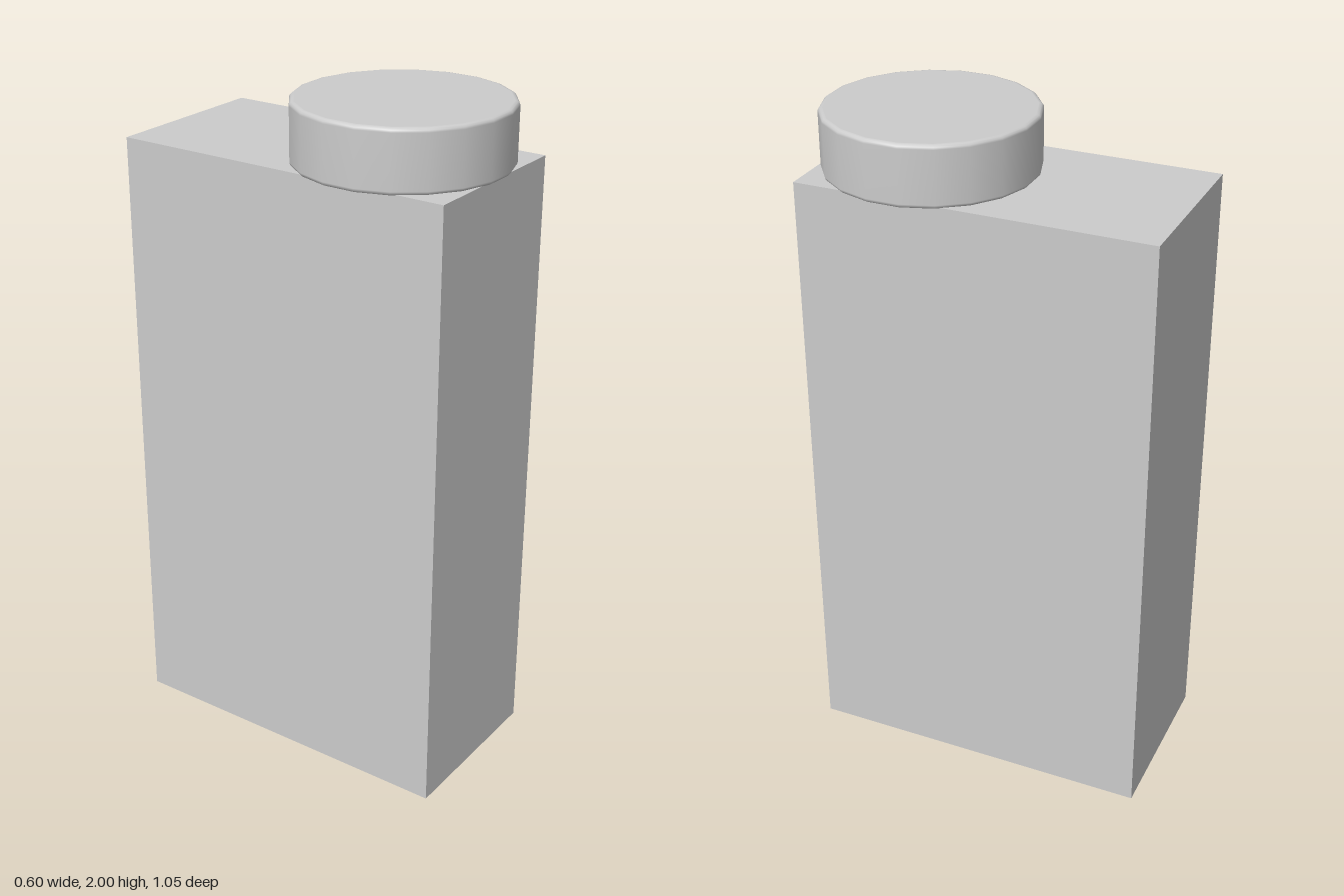
import * as THREE from 'three';

export function createModel() {
  const group = new THREE.Group();
  const material = new THREE.MeshStandardMaterial({ color: 0xcccccc });

  const add = (name, geometry, x, y, z) => {
    const mesh = new THREE.Mesh(geometry, material);
    mesh.name = name;
    mesh.position.set(x, y, z);
    group.add(mesh);
    return mesh;
  };

  // Tall rectangular body
  const bodyHeight = 1.827;
  add('body', new THREE.BoxGeometry(0.52, bodyHeight, 1.04), 0, bodyHeight / 2, -0.008);

  // Twenty-sided round cap with softened rims, overhanging the front
  const radius = 0.306, height = 0.176, bevel = 0.012, sides = 20;
  const profile = [new THREE.Vector2(0, 0), new THREE.Vector2(radius - bevel - 0.002, 0)];
  const addRim = (centerY, startAngle) => {
    for (let i = 0; i <= 3; i++) {
      const a = startAngle + (i / 3) * (Math.PI / 2);
      profile.push(new THREE.Vector2(radius - bevel + bevel * Math.cos(a), centerY + bevel * Math.sin(a)));
    }
  };
  addRim(bevel, -Math.PI / 2);
  addRim(height - bevel, 0);
  profile.push(new THREE.Vector2(radius - bevel - 0.002, height), new THREE.Vector2(0, height));
  add('cap', new THREE.LatheGeometry(profile, sides, Math.PI / sides), 0, 2 - height, 0.222);

  return group;
}
